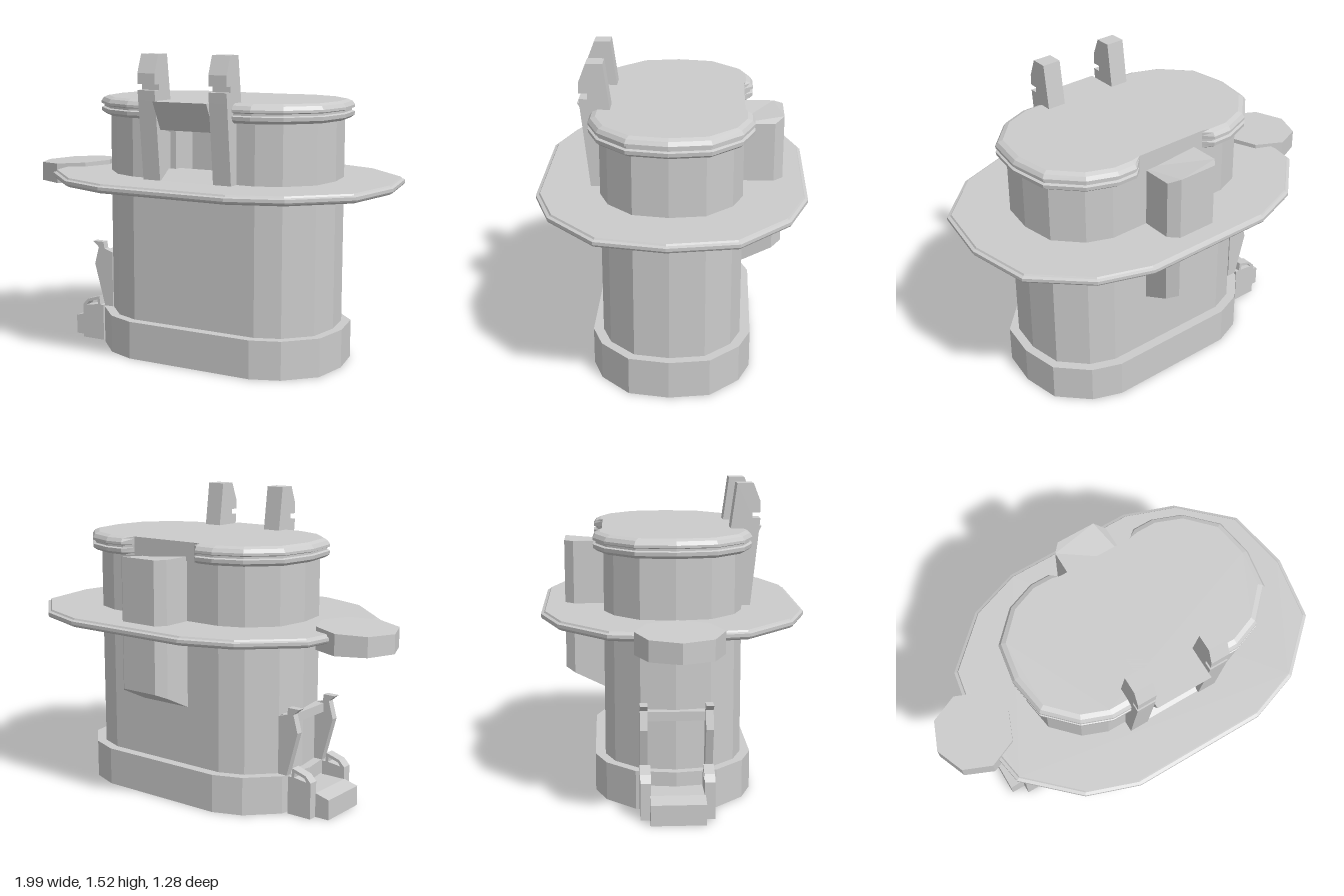
import * as THREE from 'three';

const CX = 0.095, H = 0.335; // centre and half length of the straight walls
const mat = new THREE.MeshStandardMaterial({ color: 0xcccccc, flatShading: true, side: THREE.DoubleSide });

// Long rounded outline; front and back take optional extra corners
function outline(r, b, front = [], back = []) {
  const q = [[r, 0], [0.9 * r, 0.5 * b], [0.46 * r, 0.86 * b], [0, b]];
  const right = q.map(([x, z]) => [CX + H + x, z]);
  const left = q.map(([x, z]) => [CX - H - x, z]).reverse();
  const backLeft = left.slice(0, -1).reverse().map(([x, z]) => [x, -z]);
  const backRight = right.slice(1).reverse().map(([x, z]) => [x, -z]);
  return [...right, ...front, ...left, ...backLeft, ...back, ...backRight];
}

const at = (pts, y) => pts.map(([x, z]) => [x, typeof y === 'function' ? y(x, z) : y, z]);

// Skin a stack of rings from bottom to top, closing the ends
function loft(rings, capped = true) {
  const n = rings[0].length, idx = [];
  for (let k = 0; k < rings.length - 1; k++) {
    for (let i = 0; i < n; i++) {
      const a = k * n + i, b = k * n + (i + 1) % n;
      idx.push(a, a + n, b, b, a + n, b + n);
    }
  }
  if (capped) {
    [0, rings.length - 1].forEach((k) => {
      const p = rings[k].map(([x, , z]) => new THREE.Vector2(x, z));
      for (const [a, b, c] of THREE.ShapeUtils.triangulateShape(p, [])) {
        const down = THREE.ShapeUtils.area([p[a], p[b], p[c]]) > 0;
        const o = k * n;
        if (down === (k === 0)) idx.push(o + a, o + b, o + c);
        else idx.push(o + a, o + c, o + b);
      }
    });
  }
  const g = new THREE.BufferGeometry();
  g.setAttribute('position', new THREE.Float32BufferAttribute(rings.flat(2), 3));
  g.setIndex(idx);
  const flat = g.toNonIndexed();
  flat.computeVertexNormals();
  return flat;
}

function profile(pts, depth, hole) {
  const s = new THREE.Shape(pts.map((p) => new THREE.Vector2(...p)));
  if (hole) s.holes.push(new THREE.Path(hole.map((p) => new THREE.Vector2(...p))));
  return new THREE.ExtrudeGeometry(s, { depth, bevelEnabled: false });
}
// (x, y) profile, thick along z
const alongZ = (pts, z0, z1, hole) => profile(pts, z1 - z0, hole).translate(0, 0, z0);
// (z, y) profile, thick along x
const alongX = (pts, x0, x1) => profile(pts, x1 - x0).rotateY(-Math.PI / 2).translate(x1, 0, 0);
const box = (x0, x1, y0, y1, z0, z1) =>
  new THREE.BoxGeometry(x1 - x0, y1 - y0, z1 - z0).translate((x0 + x1) / 2, (y0 + y1) / 2, (z0 + z1) / 2);

export function createModel() {
  const model = new THREE.Group();
  const add = (name, geo) => {
    const m = new THREE.Mesh(geo, mat);
    m.name = name;
    model.add(m);
  };

  // Hollow plinth with a step in to the body
  add('base', loft([
    at(outline(0.31, 0.385), 0),
    at(outline(0.31, 0.385), 0.19),
    at(outline(0.265, 0.33), 0.19),
  ], false));

  // Body, with a counter recess cut in the upper front
  const wall = outline(0.265, 0.335);
  add('lowerBody', loft([at(wall, 0.18), at(wall, 0.915)]));
  const recess = [[0.24, 0.335], [0.24, 0.08], [-0.05, 0.08], [-0.05, 0.335]];
  const upper = outline(0.265, 0.335, recess);
  add('upperBody', loft([at(upper, 0.915), at(upper, 1.22)]));

  // Surrounding deck with a thin bevelled rim
  add('deck', loft([[0.872, 0.02], [0.88, 0.005], [0.888, 0], [0.903, 0], [0.908, 0.015], [0.916, 0.02]]
    .map(([y, d]) => at(outline(0.555 - d, 0.64 - d), y))));

  // Roof cap: rounded bead, groove and a notch behind
  const notch = [[-0.14, 0], [-0.10, 1], [0.28, 1], [0.33, 0]];
  add('roofCap', loft([[1.208, 0.022], [1.222, 0.002], [1.24, 0], [1.245, 0.014], [1.255, 0.014], [1.26, 0], [1.272, 0], [1.29, 0.012], [1.3, 0.035]]
    .map(([y, d]) => {
      const b = 0.385 - d;
      return at(outline(0.31 - d, b, [], notch.map(([x, t]) => [x, t ? -0.34 : -b])), y);
    })));

  // Counter: sloping awning, sill and side jambs
  add('awning', alongX([[0.08, 1.16], [0.385, 1.16], [0.455, 1.3], [0.08, 1.3]], -0.05, 0.24));
  add('counterSill', alongX([[0.26, 0.91], [0.39, 0.91], [0.31, 0.965], [0.26, 0.965]], -0.05, 0.24));
  for (const x of [-0.045, 0.205]) {
    add('windowJamb', box(x, x + 0.03, 0.96, 1.145, 0.27, 0.3));
    add('jambCap', box(x - 0.005, x + 0.035, 1.145, 1.16, 0.26, 0.31));
  }

  // Two notched posts rising past the roof
  const post = [[0.27, 0.9], [0.388, 0.9], [0.43, 1.3], [0.435, 1.35], [0.395, 1.35], [0.395, 1.378],
    [0.435, 1.378], [0.435, 1.43], [0.4, 1.52], [0.32, 1.52], [0.29, 1.3]];
  for (const x of [-0.145, 0.24]) add('post', alongX(post, x, x + 0.095));

  // Rear bay with chamfered corners and a sloping underside
  const bay = [[0.235, -0.3], [-0.05, -0.3], [-0.05, -0.485], [-0.01, -0.53], [0.19, -0.53], [0.235, -0.485]];
  add('rearBay', loft([
    at(bay, (x, z) => 0.485 - (z + 0.335) * 0.49),
    at(bay, (x) => (x > 0.2 ? 1.205 : 1.23)),
  ]));

  // Eight-sided landing at the side of the deck, its top tilted
  const pad = [];
  for (let i = 0; i < 8; i++) {
    const a = (i * Math.PI) / 4;
    pad.push([-0.803 + 0.197 * Math.cos(a), 0.203 * Math.sin(a)]);
  }
  add('sideLanding', loft([at(pad, 0.826), at(pad, 0.845), at(pad, (x) => 0.93 + 0.05 * (x + 0.8))]));

  // Side dock with a pair of handled brackets
  add('dockStep', alongZ([[-0.745, 0], [-0.745, 0.1], [-0.67, 0.12], [-0.5, 0.12], [-0.5, 0.09], [-0.6, 0]], -0.13, 0.13));
  const bracket = [[-0.67, 0], [-0.54, 0], [-0.54, 0.19], [-0.56, 0.19], [-0.565, 0.235], [-0.64, 0.212], [-0.67, 0.18]];
  const grip = [[-0.647, 0.18], [-0.575, 0.19], [-0.578, 0.215], [-0.635, 0.198]];
  // Tall hooked fins either side of the side door
  const fin = [[-0.48, 0.19], [-0.53, 0.19], [-0.59, 0.41], [-0.565, 0.5], [-0.6, 0.53], [-0.535, 0.53], [-0.53, 0.495], [-0.48, 0.48]];
  for (const s of [-1, 1]) {
    add('dockBracket', alongZ(bracket, s * 0.15 - 0.025, s * 0.15 + 0.025, grip));
    add('doorFin', alongZ(fin, s * 0.155 - 0.018, s * 0.155 + 0.018));
  }
  add('doorLintel', box(-0.535, -0.47, 0.44, 0.485, -0.15, 0.15));

  return model;
}
